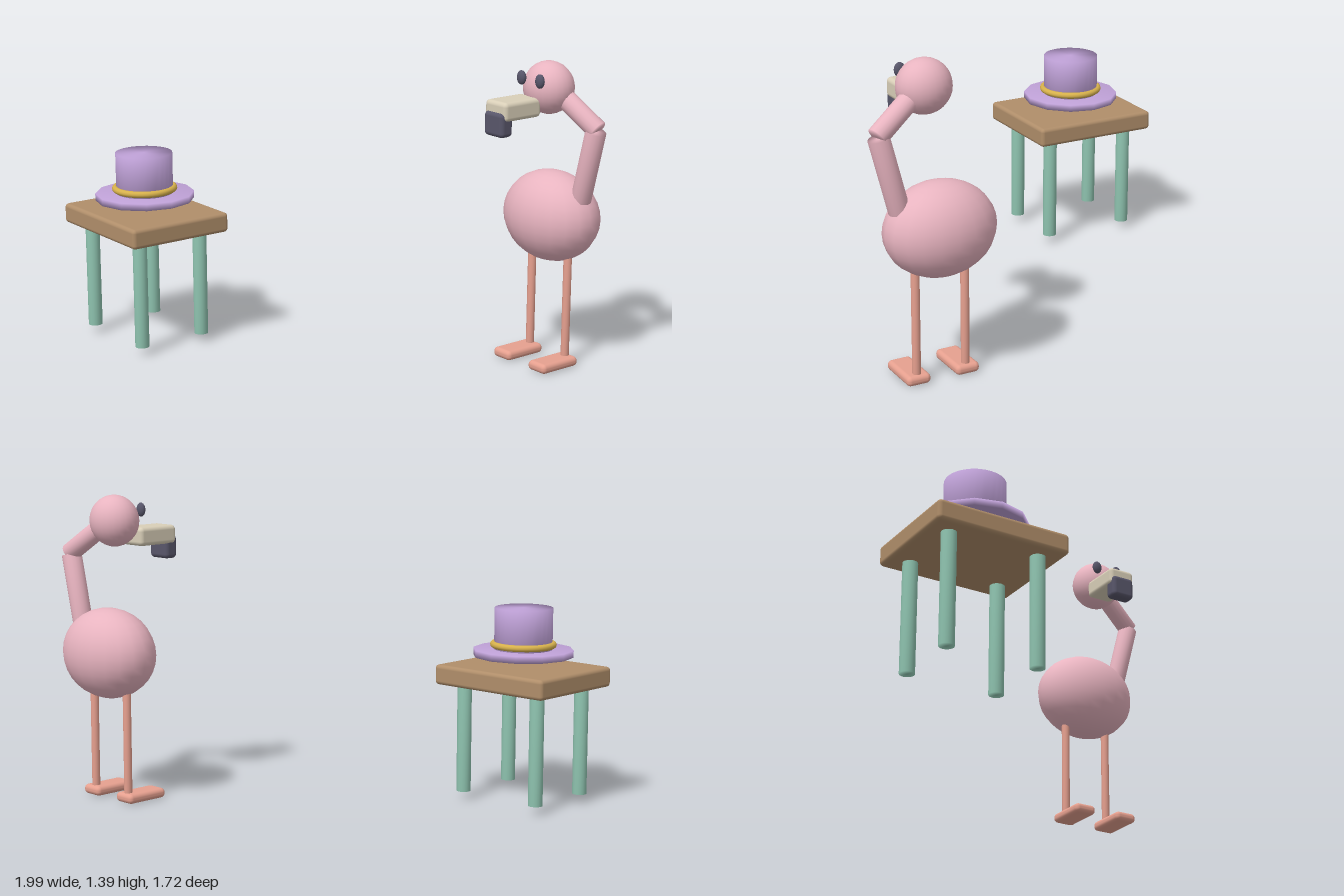
import * as THREE from 'three';
import { mergeVertices } from 'three/addons/utils/BufferGeometryUtils.js';
import { RoundedBoxGeometry } from 'three/addons/geometries/RoundedBoxGeometry.js';

const mat = (color) => new THREE.MeshStandardMaterial({ color });
const WOOD = mat(0xb08e6a), GREEN = mat(0x8fc4b0), PURPLE = mat(0xc0a2d8), GOLD = mat(0xd8b24c);
const PINK = mat(0xe8b4c0), SALMON = mat(0xe6a08f), CREAM = mat(0xd9cfb8), DARK = mat(0x58566a);

function add(parent, name, geometry, material, x, y, z) {
  const mesh = new THREE.Mesh(geometry, material);
  mesh.name = name;
  mesh.position.set(x, y, z);
  parent.add(mesh);
  return mesh;
}

// Cylinder whose rims share normals with the caps, for a soft look
function softCylinder(radius, height, sides) {
  const g = new THREE.CylinderGeometry(radius, radius, height, sides);
  g.deleteAttribute('normal');
  g.deleteAttribute('uv');
  const merged = mergeVertices(g, 1e-4);
  merged.computeVertexNormals();
  return merged;
}

function ellipsoid(rx, ry, rz, w, h) {
  return new THREE.SphereGeometry(1, w, h).scale(rx, ry, rz);
}

// Cylinder running between two points
function limb(parent, name, from, to, radius, material) {
  const a = new THREE.Vector3(...from), b = new THREE.Vector3(...to);
  const dir = b.clone().sub(a);
  const mid = a.clone().add(b).multiplyScalar(0.5);
  const mesh = add(parent, name, softCylinder(radius, dir.length(), 16), material, mid.x, mid.y, mid.z);
  mesh.quaternion.setFromUnitVectors(new THREE.Vector3(0, 1, 0), dir.normalize());
}

function createTable() {
  const table = new THREE.Group();
  table.name = 'table';
  add(table, 'tableTop', new RoundedBoxGeometry(0.615, 0.092, 0.515, 3, 0.018), WOOD, -0.692, 0.583, 0.603);
  for (const x of [-0.902, -0.485])
    for (const z of [0.443, 0.768])
      add(table, 'tableLeg', softCylinder(0.033, 0.51, 16), GREEN, x, 0.295, z);
  return table;
}

function createHat() {
  const hat = new THREE.Group();
  hat.name = 'hat';
  hat.position.set(-0.692, 0, 0.605);
  add(hat, 'brim', softCylinder(0.229, 0.032, 12), PURPLE, 0, 0.69, 0);
  add(hat, 'crown', softCylinder(0.132, 0.19, 28), PURPLE, 0, 0.8, 0);
  add(hat, 'hatBand', new THREE.TorusGeometry(0.136, 0.015, 10, 40).rotateX(Math.PI / 2), GOLD, 0, 0.727, 0);
  return hat;
}

function createBird() {
  const bird = new THREE.Group();
  bird.name = 'bird';
  add(bird, 'body', ellipsoid(0.25, 0.207, 0.183, 20, 16), PINK, 0.685, 0.68, -0.68);

  // Bent neck and head
  limb(bird, 'lowerNeck', [0.867, 0.785, -0.68], [0.95, 1.11, -0.675], 0.046, PINK);
  limb(bird, 'upperNeck', [0.957, 1.118, -0.678], [0.765, 1.258, -0.63], 0.045, PINK);
  add(bird, 'head', ellipsoid(0.12, 0.118, 0.108, 24, 16), PINK, 0.715, 1.278, -0.612);
  for (const side of [-1, 1])
    add(bird, 'eye', ellipsoid(0.025, 0.032, 0.017, 14, 10), DARK, 0.713 + side * 0.058, 1.325, -0.504);

  // Beak with hooked tip
  add(bird, 'beak', new RoundedBoxGeometry(0.136, 0.086, 0.215, 3, 0.02), CREAM, 0.684, 1.203, -0.431);
  add(bird, 'beakTip', new RoundedBoxGeometry(0.12, 0.11, 0.07, 3, 0.02), DARK, 0.684, 1.145, -0.346);

  // Legs and feet
  for (const x of [0.57, 0.8]) {
    add(bird, 'leg', softCylinder(0.019, 0.5, 14), SALMON, x, 0.28, -0.677);
    add(bird, 'foot', new RoundedBoxGeometry(0.11, 0.045, 0.215, 3, 0.02), SALMON, x, 0.0235, -0.603);
  }
  return bird;
}

export function createModel() {
  const model = new THREE.Group();
  model.name = 'birdAndHatTable';
  model.add(createTable(), createHat(), createBird());
  return model;
}
